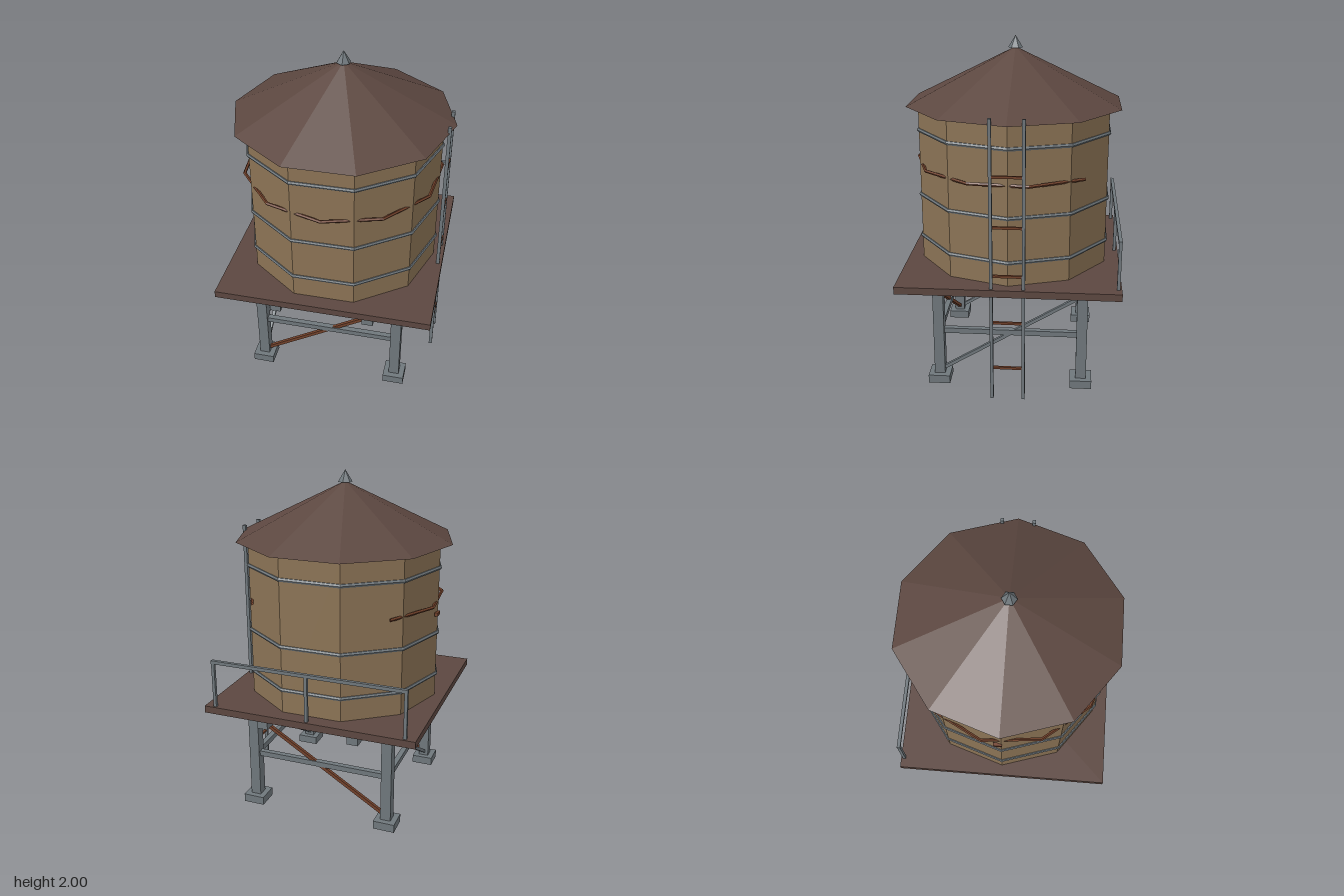
import * as THREE from 'three';

const mat = (name, color) => new THREE.MeshStandardMaterial({ name, color, flatShading: true });

export function createModel() {
  const wood = mat('tank wood', 0x8b7355);
  const dark = mat('dark wood', 0x5c4740);
  const steel = mat('grey steel', 0x6f777c);
  const rust = mat('rust', 0x70402a);
  rust.side = THREE.DoubleSide;

  const model = new THREE.Group();
  model.name = 'waterTower';

  const add = (name, geometry, material, x = 0, y = 0, z = 0) => {
    const mesh = new THREE.Mesh(geometry, material);
    mesh.name = name;
    mesh.position.set(x, y, z);
    model.add(mesh);
    return mesh;
  };
  const box = (name, material, w, h, d, x, y, z) =>
    add(name, new THREE.BoxGeometry(w, h, d), material, x, y, z);
  // Straight square bar between two points
  const bar = (name, material, size, a, b) => {
    const p = new THREE.Vector3(...a), q = new THREE.Vector3(...b);
    const mesh = box(name, material, size, size, p.distanceTo(q), 0, 0, 0);
    mesh.position.copy(p).add(q).multiplyScalar(0.5);
    mesh.lookAt(q);
    return mesh;
  };

  // Ten-sided tank, roof and finial; corners point along x
  const turn = Math.PI / 10;
  add('tank', new THREE.CylinderGeometry(0.573, 0.573, 0.925, 10, 1, false, turn), wood, 0, 1.1525, 0);
  add('roof', new THREE.ConeGeometry(0.643, 0.32, 10, 1, false, turn), dark, 0, 1.775, 0);
  add('finial', new THREE.ConeGeometry(0.042, 0.07, 6), steel, 0, 1.965, 0);

  // Steel hoops
  for (const y of [0.83, 1.09, 1.478])
    add('hoop', new THREE.TorusGeometry(0.573, 0.012, 6, 10).rotateX(Math.PI / 2), steel, 0, y, 0);

  // Broken rusty hoop that dips in and out of the staves
  add('rustyHoop', new THREE.TorusGeometry(0.583, 0.01, 5, 8, Math.PI * 1.5)
    .rotateZ(-Math.PI / 4).rotateX(Math.PI / 2), rust, 0, 1.275, 0);
  box('looseHoopEnd', rust, 0.02, 0.02, 0.05, -0.574, 1.21, -0.02);

  // Platform and the two beams below it
  box('platform', dark, 1.27, 0.042, 1.264, 0, 0.671, 0);
  for (const s of [-1, 1]) box('beam', steel, 0.064, 0.052, 1.234, s * 0.274, 0.625, 0);

  // Legs, feet, crossbars and diagonal braces
  const L = 0.42;
  for (const s of [-1, 1]) {
    for (const t of [-1, 1]) {
      box('leg', steel, 0.062, 0.55, 0.062, s * L, 0.322, t * L);
      box('foot', steel, 0.128, 0.05, 0.128, s * L, 0.025, t * L);
    }
    box('crossbarAcross', steel, 2 * L, 0.032, 0.032, 0, 0.328, s * L);
    box('crossbarAlong', steel, 0.032, 0.032, 2 * L, s * L, 0.328, 0);
    bar('rustyBrace', rust, 0.02, [-L, 0.06, s * L], [L, 0.575, s * L]);
    bar('sideBrace', steel, 0.02, [s * L, 0.06, L], [s * L, 0.575, -L]);
  }

  // Ladder on the left side
  for (const s of [-1, 1]) box('ladderRail', steel, 0.02, 1.65, 0.018, 0.61, 0.825, s * 0.09);
  for (let i = 0; i < 5; i++)
    box('ladderRung', rust, 0.014, 0.014, 0.18, 0.61, 0.197 + i * 0.285, 0);

  // Railing along the back edge
  for (const x of [-0.573, 0, 0.573])
    box('railingPost', steel, 0.018, 0.285, 0.018, x, 0.832, -0.612);
  box('railingTop', steel, 1.166, 0.02, 0.02, 0, 0.969, -0.612);

  return model;
}
